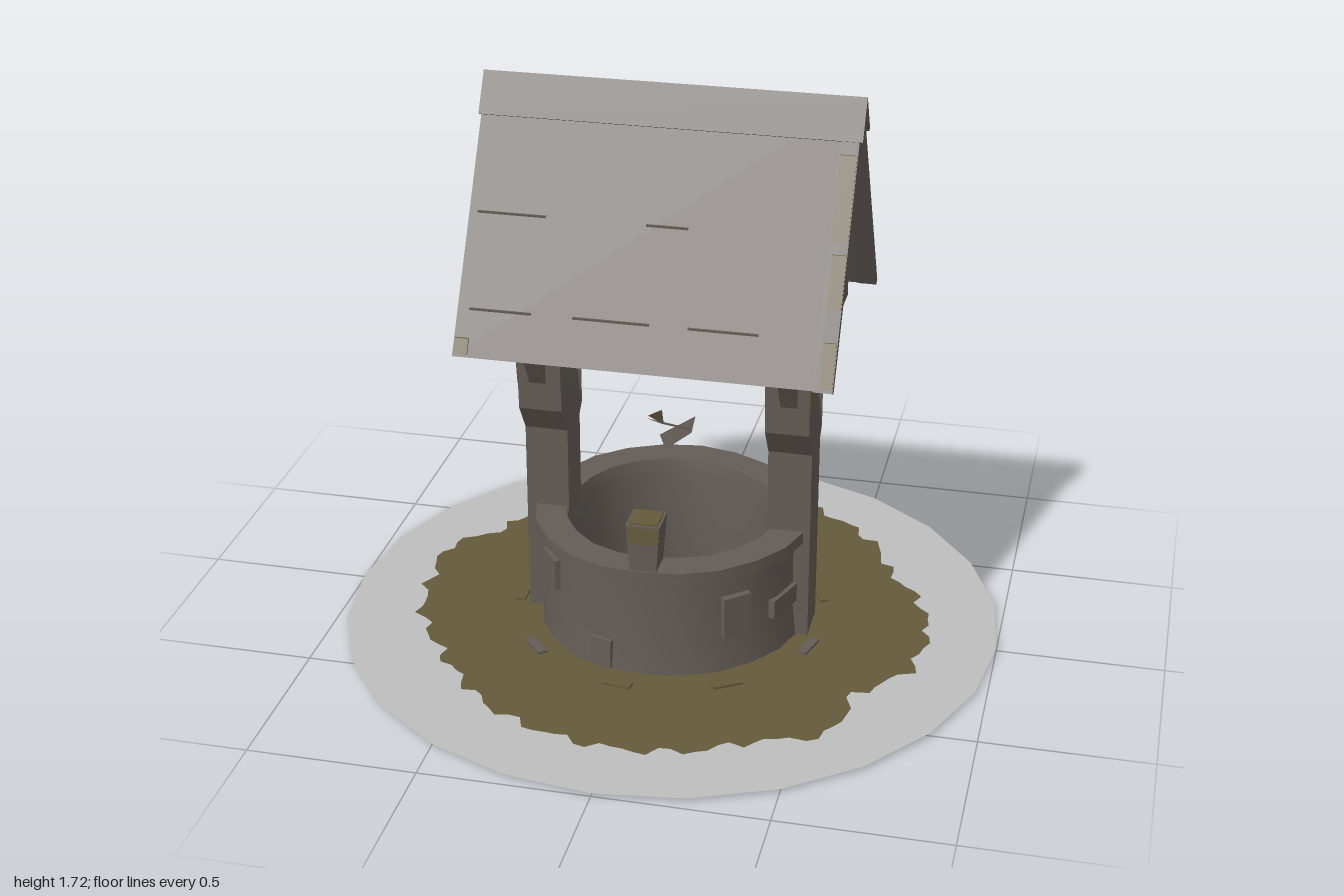
import * as THREE from 'three';
import { toCreasedNormals } from 'three/addons/utils/BufferGeometryUtils.js';

export function createModel() {
  const model = new THREE.Group();
  const mat = (name, color) => {
    const m = new THREE.MeshStandardMaterial({ color, side: THREE.DoubleSide });
    m.name = name;
    return m;
  };
  const stone = mat('weathered grey brown', 0x645c56);
  const moss = mat('mossy earth', 0x645a3c);
  const ground = mat('pale grey', 0xbebebe);

  const add = (name, geo, material, crease = 0.45) => {
    const mesh = new THREE.Mesh(toCreasedNormals(geo, crease), material);
    mesh.name = name;
    model.add(mesh);
    return mesh;
  };
  // Extrude a [z, y] outline along x from x0 to x1
  const alongX = (pts, x0, x1) => {
    const shape = new THREE.Shape(pts.map(([z, y]) => new THREE.Vector2(z, y)));
    const geo = new THREE.ExtrudeGeometry(shape, { depth: x1 - x0, bevelEnabled: false });
    return geo.rotateY(-Math.PI / 2).translate(x1, 0, 0);
  };
  const box = (w, h, d, x, y, z, ry = 0) =>
    new THREE.BoxGeometry(w, h, d).rotateY(ry).translate(x, y, z);
  const eachVertex = (geo, rule) => {
    const p = geo.attributes.position, v = new THREE.Vector3();
    for (let i = 0; i < p.count; i++) {
      rule(v.fromBufferAttribute(p, i));
      p.setXYZ(i, v.x, v.y, v.z);
    }
    return geo;
  };

  // Ground disc
  add('groundDisc', new THREE.CircleGeometry(1, 24).rotateX(-Math.PI / 2).translate(0, 0.01, 0), ground);

  // Ragged earth ring, on both faces of the disc; radii every 15 degrees
  const radii = [0.79, 0.79, 0.72, 0.83, 0.77, 0.79, 0.79, 0.78, 0.77, 0.74, 0.74, 0.77,
    0.78, 0.82, 0.74, 0.8, 0.8, 0.82, 0.85, 0.81, 0.79, 0.77, 0.72, 0.77];
  const outline = [];
  for (let i = 0; i < 144; i++) {
    const k = Math.floor(i / 6), t = (i % 6) / 6, a = (i / 144) * Math.PI * 2;
    const r = radii[k] * (1 - t) + radii[(k + 1) % 24] * t
      + 0.016 * Math.sin(i * 1.35) + 0.01 * Math.sin(i * 2.3 + 1);
    outline.push(new THREE.Vector2(r * Math.cos(a), -r * Math.sin(a)));
  }
  const earth = new THREE.Shape(outline);
  earth.holes.push(new THREE.Path().absarc(0, 0, 0.3, 0, Math.PI * 2, true));
  [0, 0.02].forEach((y, i) => add(i ? 'earthRing' : 'earthUnderside',
    new THREE.ShapeGeometry(earth, 10).rotateX(-Math.PI / 2).translate(0, y, 0), moss));

  // Thin stone shards lying around the foot of the well
  for (let i = 0; i < 9; i++) {
    const a = i * 0.7 + 0.3;
    add('footShard', box(0.09, 0.012, 0.03, 0.47 * Math.cos(a), 0.022, 0.47 * Math.sin(a), -a + Math.PI / 2),
      i % 3 ? moss : stone);
  }

  // Well wall with an overhanging rim, slightly uneven
  const wall = new THREE.LatheGeometry([[0.4, 0.012], [0.39, 0.12], [0.388, 0.33], [0.415, 0.335],
    [0.415, 0.372], [0.32, 0.372], [0.31, 0.32], [0.31, 0.012]].map(([r, y]) => new THREE.Vector2(r, y)), 22);
  eachVertex(wall, (v) => {
    const a = Math.atan2(v.z, v.x), s = 1 + 0.012 * Math.sin(3 * a + 1) + 0.006 * Math.sin(7 * a);
    v.x *= s;
    v.z *= s;
  });
  add('wellWall', wall, stone, 0.6);

  // Loose stones set in the wall: [angle, y, width, height]
  for (const [a, y, w, h] of [[0.85, 0.2, 0.09, 0.13], [2.5, 0.25, 0.1, 0.1], [1.9, 0.07, 0.07, 0.09],
    [0.35, 0.17, 0.13, 0.06], [-0.6, 0.23, 0.11, 0.1], [-1.6, 0.14, 0.13, 0.09], [-2.6, 0.22, 0.1, 0.08]]) {
    add('wallStone', box(w, h, 0.04, 0.383 * Math.cos(a), y, 0.383 * Math.sin(a), Math.PI / 2 - a), stone);
  }

  // Small block standing on the front of the rim
  const block = eachVertex(box(0.1, 0.17, 0.1, 0, 0, 0), (v) => {
    if (v.y < 0) { v.x *= 0.75; v.z *= 0.9; }
  });
  add('rimBlock', block.translate(0.005, 0.435, 0.357), stone);
  add('rimBlockMoss', box(0.085, 0.008, 0.085, 0.005, 0.522, 0.357), moss);
  add('rimBlockMossFront', box(0.09, 0.05, 0.006, 0.005, 0.49, 0.407), moss);

  // Broken gable infill under the roof slopes, as [z, y] outlines
  const gable = [
    [[0, 1.35], [0.03, 1.39], [0.02, 1.46], [0.08, 1.55], [0, 1.68], [-0.13, 1.46], [-0.1, 1.4], [-0.03, 1.44], [-0.02, 1.36]],
    [[0.2, 1.34], [0.14, 1.35], [0.05, 1.51], [0.12, 1.48]],
    [[0.245, 1.25], [0.17, 1.23], [0.14, 1.32], [0.2, 1.34]],
    [[-0.15, 1.43], [-0.11, 1.4], [-0.12, 1.33], [-0.17, 1.25], [-0.2, 1.28], [-0.19, 1.36]],
    [[0.39, 1.0], [0.28, 1.2], [0.2, 1.15], [0.27, 1.06], [0.24, 0.95]],
    [[-0.37, 0.96], [-0.37, 1.04], [-0.29, 1.19], [-0.2, 1.15], [-0.27, 1.06], [-0.27, 0.96]],
  ];

  // Posts, beams, braces and gables, the same at both ends
  const postProfile = [[0.07, 0.01], [0.07, 0.63], [0.13, 0.72], [0.14, 0.88], [0.07, 0.97], [-0.09, 0.97],
    [-0.1, 0.75], [-0.1, 0.65], [-0.07, 0.62], [-0.07, 0.01]];
  for (const s of [-1, 1]) {
    const span = (a, b) => (s > 0 ? [a, b] : [-b, -a]);
    const post = eachVertex(alongX(postProfile, ...span(0.305, 0.435)), (v) => {
      if (v.y > 0.93) v.x = s * (0.37 + (v.x * s - 0.37) * 0.45);
    });
    add('post', post, stone);
    add('crossBeam', alongX([[0.3, 0.95], [0.3, 1.06], [-0.37, 1.06], [-0.37, 0.95]], ...span(0.36, 0.43)), stone);
    add('beamMoss', alongX([[0.22, 0.953], [0.22, 1.058], [0.08, 1.058], [0.08, 0.953]], ...span(0.43, 0.435)), moss);
    add('frontBrace', alongX([[0.13, 0.8], [0.22, 0.95], [0.06, 0.95]], ...span(0.35, 0.4)), stone);
    add('backBrace', alongX([[-0.09, 0.73], [-0.12, 0.78], [-0.2, 0.93], [-0.1, 0.88]], ...span(0.36, 0.39)), moss);
    add('postMoss', alongX([[0.14, 0.87], [0.13, 0.8], [0.08, 0.8], [0.08, 0.87]], ...span(0.435, 0.438)), moss);
    for (const outlinePts of gable) add('gablePiece', alongX(outlinePts, ...span(0.41, 0.46)), stone);
  }

  // Roof: a thin folded sheet, an edge trim and a ridge cap
  const fold = (top, halfZ, low, t) => [[halfZ, low], [0, top], [-halfZ, low], [-halfZ + t * 0.55, low - t * 0.25], [0, top - t * 1.9],
    [halfZ - t * 0.55, low - t * 0.25]];
  add('roof', alongX(fold(1.69, 0.405, 1.0, 0.025), -0.545, 0.495), stone);
  add('roofEdgeTrim', alongX(fold(1.7, 0.412, 1.0, 0.035), 0.487, 0.542), stone);
  add('ridgeCap', alongX(fold(1.715, 0.065, 1.605, 0.025), -0.55, 0.552), stone);

  // Mossy patches on the front of the roof trim, lying along the slope
  const onSlope = (y) => ((1.7 - y) / 0.7) * 0.412;
  for (const [x0, x1, y0, y1] of [[0.492, 0.54, 1.36, 1.57], [0.5, 0.541, 1.2, 1.33], [0.505, 0.54, 1.01, 1.12],
    [-0.54, -0.5, 1.01, 1.05]]) {
    const a = onSlope(y0), b = onSlope(y1);
    add('roofMoss', alongX([[a + 0.004, y0], [b + 0.004, y1], [b - 0.002, y1], [a - 0.002, y0]], x0, x1), moss);
  }

  // Raised shingle edges on both slopes: [x, y, width]
  for (const side of [1, -1]) {
    for (const [x, y, w] of [[-0.42, 1.12, 0.18], [-0.1, 1.12, 0.22], [0.22, 1.12, 0.2], [-0.42, 1.36, 0.2],
      [0.03, 1.36, 0.12], [-0.3, 1.63, 0.2], [0.25, 1.63, 0.2]]) {
      const z = ((1.69 - y) / 0.69) * 0.405;
      add('shingleEdge', new THREE.BoxGeometry(w, 0.006, 0.008).translate(x, y, side * z), stone);
    }
  }

  // Hanging broken bucket scraps
  const scrap = (name, pts, z, tilt, material) => {
    const geo = new THREE.ShapeGeometry(new THREE.Shape(pts.map(([x, y]) => new THREE.Vector2(x, y))));
    add(name, eachVertex(geo, (v) => { v.z = z + tilt * (v.x + v.y - 0.65); }), material);
  };
  scrap('bucketScrapUpper', [[-0.08, 0.66], [-0.02, 0.72], [-0.025, 0.65]], 0.02, 0.6, moss);
  scrap('bucketScrapLower', [[-0.03, 0.63], [0.06, 0.66], [0.055, 0.62], [-0.01, 0.59]], 0, -0.7, stone);
  scrap('bucketHandle', [[-0.08, 0.66], [0.06, 0.655], [0.06, 0.648], [-0.03, 0.65]], 0.01, 0.2, stone);

  return model;
}
